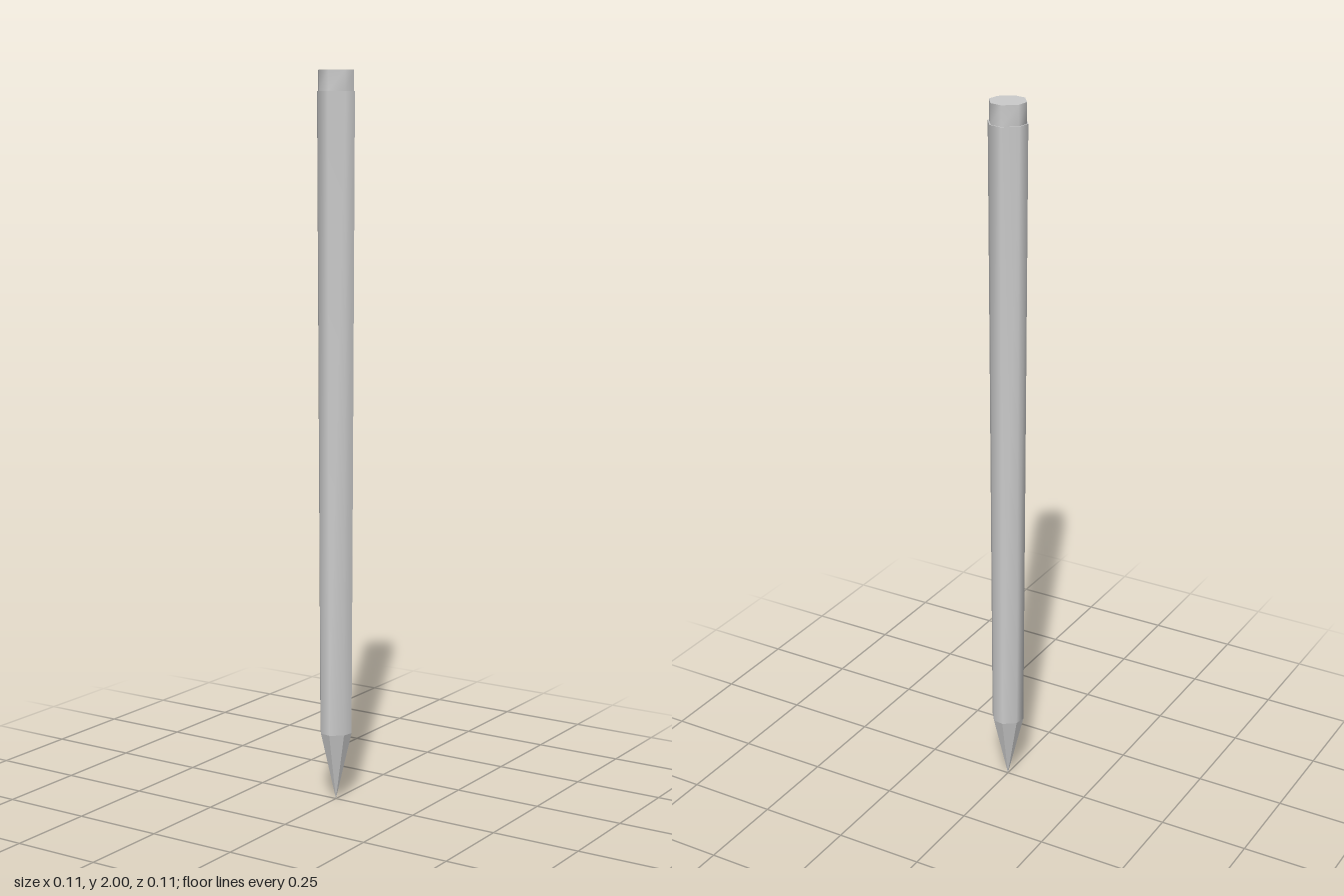
import * as THREE from 'three';

// Eight-sided section whose corners alternate between wide and narrow sides
function octagonPart(name, rTop, rBottom, y0, y1, { open = false, flat = false } = {}) {
  let geo = new THREE.CylinderGeometry(rTop, rBottom, y1 - y0, 8, 1, open);
  const p = geo.attributes.position;
  for (let i = 0; i < p.count; i++) {
    const r = Math.hypot(p.getX(i), p.getZ(i));
    const k = Math.round(Math.atan2(p.getX(i), p.getZ(i)) / (Math.PI / 4));
    const a = THREE.MathUtils.degToRad(-10 - 45 * k - (k % 2 ? 6.5 : 0));
    p.setX(i, r * Math.cos(a));
    p.setZ(i, r * Math.sin(a));
  }
  if (flat) geo = geo.toNonIndexed();
  geo.computeVertexNormals();
  geo.translate(0, (y0 + y1) / 2, 0);
  const mesh = new THREE.Mesh(geo, new THREE.MeshStandardMaterial({ color: 0xcccccc, flatShading: flat }));
  mesh.name = name;
  return mesh;
}

export function createModel() {
  const group = new THREE.Group();
  group.name = 'stake';
  group.add(
    // Sharpened point
    octagonPart('point', 0.047, 0, 0, 0.195, { open: true, flat: true }),
    // Slightly tapering shaft, its top forming a narrow ledge
    octagonPart('shaft', 0.0545, 0.047, 0.195, 1.945),
    // Narrower stub on top
    octagonPart('topStub', 0.051, 0.051, 1.945, 2),
  );
  return group;
}
